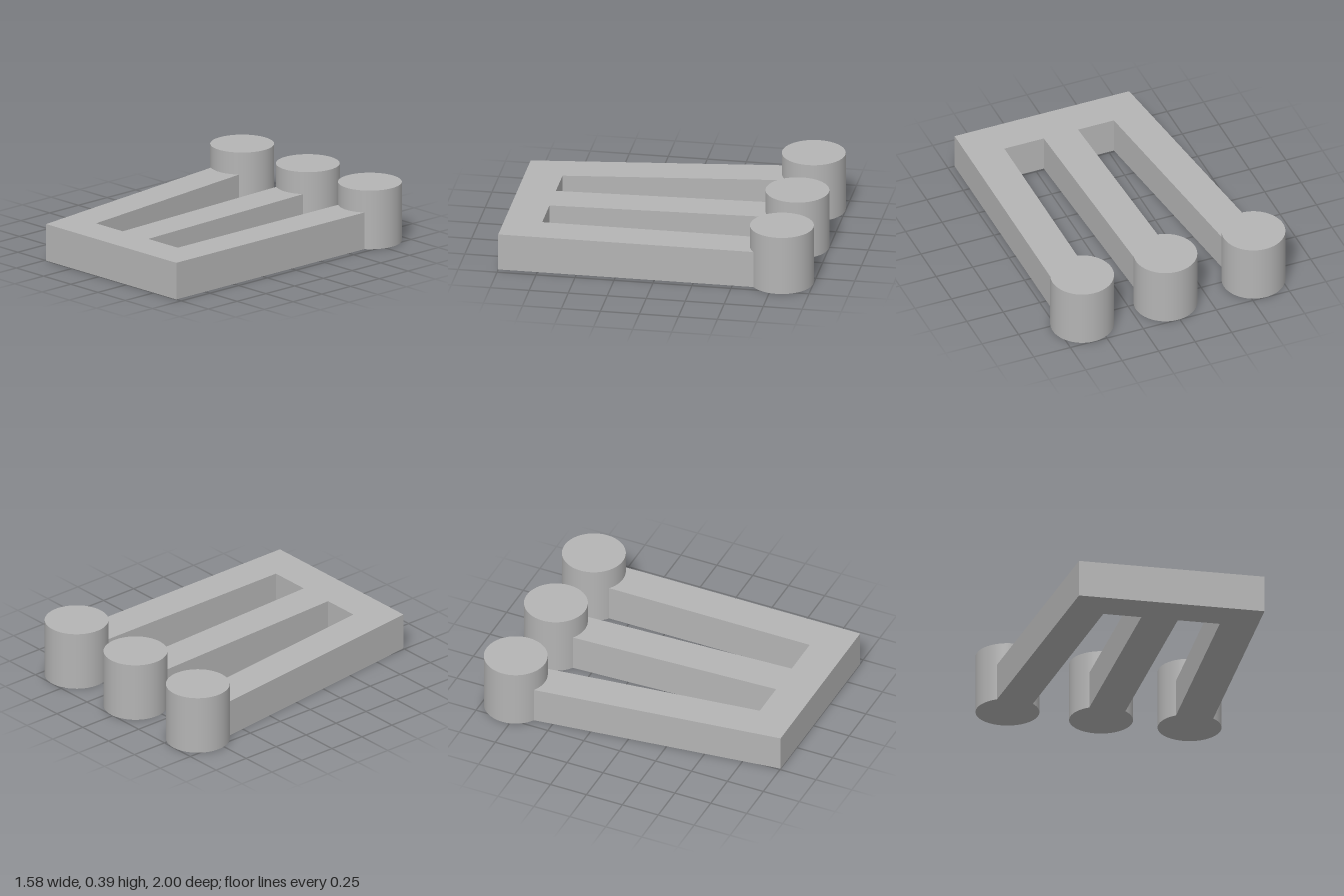
import * as THREE from 'three';

export function createModel() {
  const model = new THREE.Group();
  const grey = new THREE.MeshStandardMaterial({ color: 0xb4b4b4 });
  grey.name = 'grey';

  // Three-pronged flat frame, outlined as [x, z]; prong ends sit inside the posts
  const outline = [
    [-0.49, 1], [0.705, 1], [0.705, -0.7], [0.465, -0.7],
    [0.465, 0.76], [0.195, 0.76], [0.137, -0.7], [-0.098, -0.7],
    [-0.04, 0.76], [-0.285, 0.76], [-0.462, -0.7], [-0.7, -0.7],
  ];
  const shape = new THREE.Shape(outline.map(([x, z]) => new THREE.Vector2(x, -z)));
  const frameGeometry = new THREE.ExtrudeGeometry(shape, { depth: 0.241, bevelEnabled: false });
  frameGeometry.rotateX(-Math.PI / 2);
  const frame = new THREE.Mesh(frameGeometry, grey);
  frame.name = 'prongedFrame';
  model.add(frame);

  // Round posts at the prong ends
  const height = 0.386;
  const postGeometry = new THREE.CylinderGeometry(0.202, 0.202, height, 64);
  const posts = { rightPost: -0.588, middlePost: 0.015, leftPost: 0.585 };
  for (const [name, x] of Object.entries(posts)) {
    const post = new THREE.Mesh(postGeometry, grey);
    post.name = name;
    post.position.set(x, height / 2, -0.798);
    model.add(post);
  }
  return model;
}
